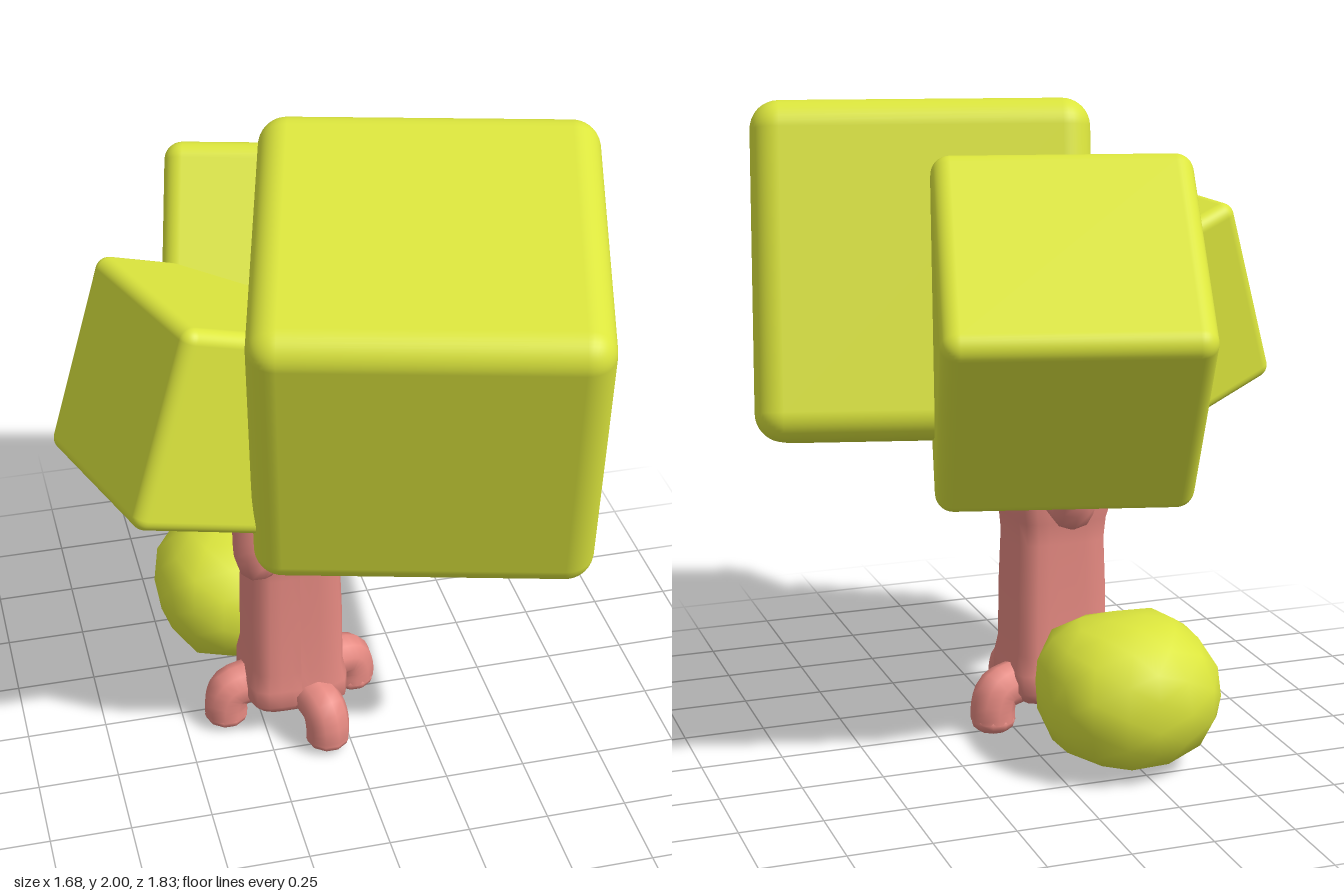
import * as THREE from 'three';
import { RoundedBoxGeometry } from 'three/addons/geometries/RoundedBoxGeometry.js';
import { mergeVertices } from 'three/addons/utils/BufferGeometryUtils.js';

const leafMat = new THREE.MeshStandardMaterial({ color: 0xdbe53d });
const barkMat = new THREE.MeshStandardMaterial({ color: 0xe68a82 });
const deg = THREE.MathUtils.degToRad;
const trunkX = -0.147, trunkZ = 0.053;

function add(parent, name, geometry, material) {
  const mesh = new THREE.Mesh(geometry, material);
  mesh.name = name;
  parent.add(mesh);
  return mesh;
}

// Tilted rounded cube of foliage
function leafCube(parent, name, size, radius, position, [rx, ry, rz]) {
  const cube = add(parent, name, new RoundedBoxGeometry(size, size, size, 5, radius), leafMat);
  cube.position.set(...position);
  cube.rotation.set(deg(rx), deg(ry), deg(rz), 'YXZ');
}

// Limb leaving the trunk sideways; path holds [fraction of the offset, height] pairs
function limb(parent, name, [dx, dz], path, radius) {
  const points = path.map(([f, y]) => new THREE.Vector3(trunkX + dx * f, y, trunkZ + dz * f));
  const group = new THREE.Group();
  group.name = name;
  parent.add(group);
  add(group, name + 'Tube', new THREE.TubeGeometry(new THREE.CatmullRomCurve3(points), 16, radius, 10), barkMat);
  const tip = add(group, name + 'Tip', new THREE.SphereGeometry(radius, 10, 8), barkMat);
  tip.position.copy(points[points.length - 1]);
  tip.scale.y = 0.6;
}

// Trunk with a rounded square section, flaring at the roots and at the crown
function trunkGeometry() {
  const profile = [[0, 0.1], [0.13, 0.1], [0.16, 0.14], [0.16, 0.2], [0.148, 0.26], [0.146, 0.45],
    [0.14, 0.62], [0.146, 0.69], [0.158, 0.74], [0.158, 0.8], [0.14, 0.84], [0, 0.84]];
  const geo = new THREE.LatheGeometry(profile.map(p => new THREE.Vector2(...p)), 32);
  const pos = geo.attributes.position;
  for (let i = 0; i < pos.count; i++) {
    const x = pos.getX(i), z = pos.getZ(i), r = Math.hypot(x, z);
    if (r < 0.01) continue; // centre of the end caps
    const k = Math.pow(Math.abs(x / r) ** 6 + Math.abs(z / r) ** 6, -1 / 6);
    pos.setXYZ(i, x * k, pos.getY(i), z * k);
  }
  geo.computeVertexNormals();
  return geo;
}

// Low-sided bush with full shoulders and a flat base
function bushGeometry() {
  let geo = new THREE.IcosahedronGeometry(1, 2);
  geo.deleteAttribute('normal');
  geo.deleteAttribute('uv');
  geo = mergeVertices(geo, 1e-3);
  const pos = geo.attributes.position;
  for (let i = 0; i < pos.count; i++) {
    const x = pos.getX(i), y = pos.getY(i), z = pos.getZ(i);
    const full = Math.pow(Math.abs(x) ** 2.5 + Math.abs(y) ** 2.5 + Math.abs(z) ** 2.5, -0.4);
    const k = full * (1 + 0.025 * Math.sin(5 * x + 3 * z) * Math.cos(4 * y));
    pos.setXYZ(i, x * 0.268 * k, Math.max(y * 0.225 * k, -0.205), z * 0.275 * k);
  }
  geo.computeVertexNormals();
  return geo;
}

export function createModel() {
  const tree = new THREE.Group();
  tree.name = 'tree';

  // Foliage
  leafCube(tree, 'mainFoliage', 0.99, 0.085, [0.225, 1.415, 0.235], [15, -15, 0]);
  leafCube(tree, 'backFoliage', 0.76, 0.055, [-0.035, 1.345, -0.345], [-37, -15, 0]);
  leafCube(tree, 'sideFoliage', 0.61, 0.04, [-0.41, 1.295, 0.15], [-4, 16, -20]);

  // Trunk
  add(tree, 'trunk', trunkGeometry(), barkMat).position.set(trunkX, 0, trunkZ);

  // Four stubby roots
  const rootPath = [[0.2, 0.16], [0.7, 0.15], [0.92, 0.135], [1, 0.09], [1, 0.045]];
  [[0.07, 0.21], [0.22, -0.07], [0, -0.225], [-0.22, 0.02]].forEach((offset, i) =>
    limb(tree, 'root' + (i + 1), offset, rootPath, 0.07));

  // Three branches bending up into the foliage
  [[0.19, 0.07, 0.95], [0.06, -0.36, 0.92], [-0.165, 0.265, 1.0]].forEach(([dx, dz, top], i) =>
    limb(tree, 'branch' + (i + 1), [dx, dz], [[0.1, 0.775], [0.65, 0.78], [0.93, 0.795], [1, 0.85], [1, top]], 0.064));

  // Bush behind the trunk
  add(tree, 'bush', bushGeometry(), leafMat).position.set(-0.235, 0.237, -0.368);

  return tree;
}
